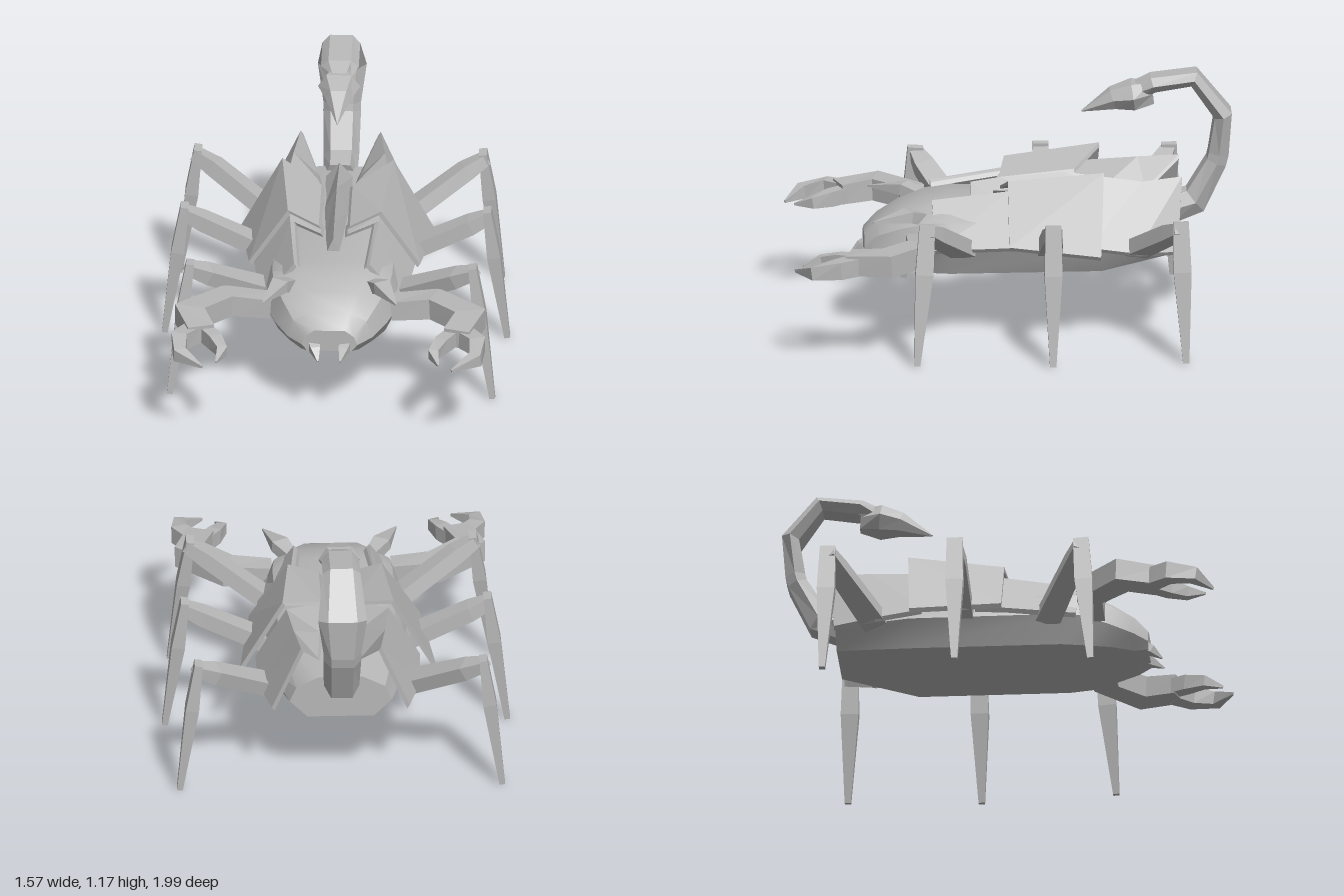
import * as THREE from 'three';
import { toCreasedNormals } from 'three/addons/utils/BufferGeometryUtils.js';

const V = (x, y, z) => new THREE.Vector3(x, y, z);

// Unit cross-sections for limbs: [across, thickness]
const BOX = [[-1, -1], [1, -1], [1, 1], [-1, 1]];
const HEX = [[-0.6, -1], [0.6, -1], [1, 0], [0.6, 1], [-0.6, 1], [-1, 0]];

// Closed solid through a list of rings; turned outward by its signed volume
function loft(rings, crease = 0) {
  const tris = [];
  const quad = (a, b, c, d) => tris.push([a, b, c], [a, c, d]);
  const n = rings[0].length;
  for (let k = 0; k < rings.length - 1; k++) {
    for (let i = 0; i < n; i++) {
      const j = (i + 1) % n;
      quad(rings[k][i], rings[k][j], rings[k + 1][j], rings[k + 1][i]);
    }
  }
  const first = rings[0], last = rings[rings.length - 1];
  for (let i = 0; i < n / 2 - 1; i++) {
    quad(last[i], last[i + 1], last[n - 2 - i], last[n - 1 - i]);
    quad(first[n - 1 - i], first[n - 2 - i], first[i + 1], first[i]);
  }
  let volume = 0;
  const cross = V(0, 0, 0);
  for (const [a, b, c] of tris) volume += cross.crossVectors(b, c).dot(a);
  const points = [];
  for (const [a, b, c] of tris) {
    if (a.equals(b) || b.equals(c) || a.equals(c)) continue;
    points.push(...(volume > 0 ? [a, b, c] : [a, c, b]));
  }
  const geo = new THREE.BufferGeometry().setFromPoints(points);
  if (crease) return toCreasedNormals(geo, crease);
  geo.computeVertexNormals();
  return geo;
}

// Tapered, mitred limb along [x, y, z, halfAcross, halfThickness]; 'across' follows ref
function limb(path, ref, section) {
  const pts = path.map(p => V(p[0], p[1], p[2]));
  const rings = path.map((p, k) => {
    const t = V(0, 0, 0);
    if (k > 0) t.add(pts[k].clone().sub(pts[k - 1]).normalize());
    if (k < pts.length - 1) t.add(pts[k + 1].clone().sub(pts[k]).normalize());
    t.normalize();
    const a = V(0, 0, 0).crossVectors(ref, t).normalize();
    const b = V(0, 0, 0).crossVectors(t, a);
    return section.map(([u, v]) => pts[k].clone().addScaledVector(b, u * p[3]).addScaledVector(a, v * p[4]));
  });
  return loft(rings);
}

export function createModel() {
  const model = new THREE.Group();
  const shell = new THREE.MeshStandardMaterial({ color: 0xb8b8b8 });
  shell.name = 'grey shell';
  const add = (name, geo) => {
    const mesh = new THREE.Mesh(geo, shell);
    mesh.name = name;
    model.add(mesh);
  };
  const X = V(1, 0, 0), Y = V(0, 1, 0), Z = V(0, 0, 1);

  // Body with domed head: z, then [halfWidth, y] for belly, flank, shoulder, top
  const body = [
    [0.66, [0.10, 0.33], [0.125, 0.36], [0.11, 0.40], [0.07, 0.43]],
    [0.60, [0.13, 0.31], [0.19, 0.37], [0.165, 0.45], [0.09, 0.49]],
    [0.50, [0.19, 0.305], [0.25, 0.39], [0.215, 0.495], [0.12, 0.545]],
    [0.38, [0.24, 0.295], [0.30, 0.415], [0.26, 0.53], [0.16, 0.58]],
    [0.28, [0.26, 0.295], [0.315, 0.42], [0.27, 0.535], [0.18, 0.59]],
    [-0.40, [0.26, 0.30], [0.32, 0.42], [0.26, 0.53], [0.15, 0.58]],
    [-0.74, [0.15, 0.35], [0.23, 0.43], [0.20, 0.50], [0.10, 0.55]],
  ];
  add('body', loft(body.map(([z, ...half]) => [
    ...half.map(([x, y]) => V(x, y, z)),
    ...half.slice().reverse().map(([x, y]) => V(-x, y, z)),
  ]), 0.6));

  // Ridge along the middle of the back
  add('backRidge', loft([[0.18, 0.035, 0.65], [0.05, 0.045, 0.67], [-0.25, 0.06, 0.69], [-0.6, 0.06, 0.64]]
    .map(([z, w, y]) => [V(-w, 0.57, z), V(0, y, z), V(w, 0.57, z)])));

  // Tail, curling over the back
  add('tail', limb([
    [0, 0.52, -0.70, 0.075, 0.07],
    [0, 0.56, -0.83, 0.08, 0.06],
    [0, 0.74, -0.925, 0.085, 0.045],
    [0, 0.78, -0.935, 0.085, 0.045],
    [0, 0.96, -0.955, 0.11, 0.04],
    [0, 1.13, -0.825, 0.085, 0.035],
    [0, 1.105, -0.64, 0.085, 0.035],
    [0, 1.07, -0.57, 0.05, 0.04],
  ], X, HEX));
  add('stinger', limb([
    [0, 1.06, -0.64, 0.04, 0.05],
    [0, 1.05, -0.55, 0.095, 0.06],
    [0, 1.035, -0.46, 0.06, 0.045],
    [0, 0.975, -0.32, 0.003, 0.003],
  ], X, HEX));

  // Wing-case plates: rings of outer edge, ridge and inner edge
  const plates = {
    frontPlate: [
      [[0.32, 0.42, 0.35], [0.17, 0.615, 0.36], [0.155, 0.605, 0.35]],
      [[0.36, 0.44, 0.02], [0.20, 0.66, 0.02], [0.18, 0.65, 0.02]],
      [[0.365, 0.44, -0.04], [0.205, 0.67, -0.04], [0.06, 0.625, 0.08]],
      [[0.37, 0.44, -0.10], [0.21, 0.675, -0.10], [0.06, 0.63, -0.02]],
    ],
    middlePlate: [
      [[0.385, 0.45, 0.02], [0.21, 0.71, 0.02], [0.07, 0.65, 0.05]],
      [[0.44, 0.415, -0.39], [0.25, 0.755, -0.41], [0.07, 0.685, -0.29]],
    ],
    rearPlate: [
      [[0.37, 0.44, -0.34], [0.23, 0.68, -0.34], [0.07, 0.64, -0.22]],
      [[0.365, 0.41, -0.55], [0.205, 0.70, -0.58], [0.085, 0.62, -0.45]],
      [[0.31, 0.40, -0.74], [0.18, 0.715, -0.765], [0.10, 0.58, -0.61]],
    ],
  };

  // Legs: root, knee and foot
  const legs = {
    frontLeg: [[0.28, 0.41, 0.22], [0.64, 0.585, 0.40], [0.725, 0, 0.45]],
    middleLeg: [[0.33, 0.43, -0.165], [0.685, 0.585, -0.165], [0.77, 0, -0.16]],
    rearLeg: [[0.30, 0.41, -0.55], [0.645, 0.585, -0.74], [0.725, 0, -0.76]],
  };

  for (const [side, s] of [['left', 1], ['right', -1]]) {
    const flip = path => path.map(([x, ...rest]) => [s * x, ...rest]);
    const named = part => side + part[0].toUpperCase() + part.slice(1);

    for (const [name, rings] of Object.entries(plates)) {
      add(named(name), loft(rings.map(ring => {
        const top = flip(ring).map(p => V(...p));
        const under = top.map(p => V(p.x - s * 0.012, p.y - 0.018, p.z)).reverse();
        return [...top, ...under];
      })));
    }

    for (const [name, [root, knee, foot]] of Object.entries(legs)) {
      const [kx, ky, kz] = knee;
      add(named(name + 'Thigh'), limb(flip([
        [...root, 0.055, 0.035],
        [kx - 0.08, ky - 0.025, kz - (kz - root[2]) * 0.2, 0.045, 0.035],
        [kx + 0.01, ky + 0.02, kz, 0.03, 0.025],
      ]), Z, BOX));
      const mid = knee.map((v, i) => v + (foot[i] - v) * 0.3);
      add(named(name + 'Shin'), limb(flip([
        [kx - 0.005, ky + 0.05, kz, 0.035, 0.018],
        [...mid, 0.04, 0.03],
        [...foot, 0.014, 0.013],
      ]), Z, BOX));
    }

    // Pincer arm and its two fingers
    add(named('pincerArm'), limb(flip([
      [0.27, 0.44, 0.43, 0.045, 0.05],
      [0.465, 0.455, 0.425, 0.05, 0.06],
      [0.63, 0.455, 0.58, 0.05, 0.07],
      [0.575, 0.445, 0.75, 0.045, 0.06],
    ]), Y, BOX));
    add(named('outerFinger'), limb(flip([
      [0.61, 0.44, 0.72, 0.04, 0.04],
      [0.67, 0.44, 0.80, 0.04, 0.036],
      [0.665, 0.425, 0.91, 0.03, 0.028],
      [0.56, 0.405, 0.99, 0.006, 0.004],
    ]), Y, BOX));
    add(named('innerFinger'), limb(flip([
      [0.555, 0.44, 0.72, 0.035, 0.03],
      [0.51, 0.435, 0.79, 0.035, 0.03],
      [0.475, 0.425, 0.87, 0.025, 0.022],
      [0.50, 0.41, 0.95, 0.005, 0.004],
    ]), Y, BOX));

    // Brow horn and small fang
    add(named('browHorn'), limb(flip([
      [0.18, 0.53, 0.40, 0.028, 0.025],
      [0.23, 0.56, 0.47, 0.026, 0.04],
      [0.30, 0.55, 0.63, 0.003, 0.003],
    ]), Y, BOX));
    add(named('fang'), limb(flip([
      [0.075, 0.36, 0.63, 0.02, 0.026],
      [0.065, 0.34, 0.67, 0.018, 0.022],
      [0.05, 0.305, 0.72, 0.003, 0.003],
    ]), Y, BOX));
  }
  return model;
}
